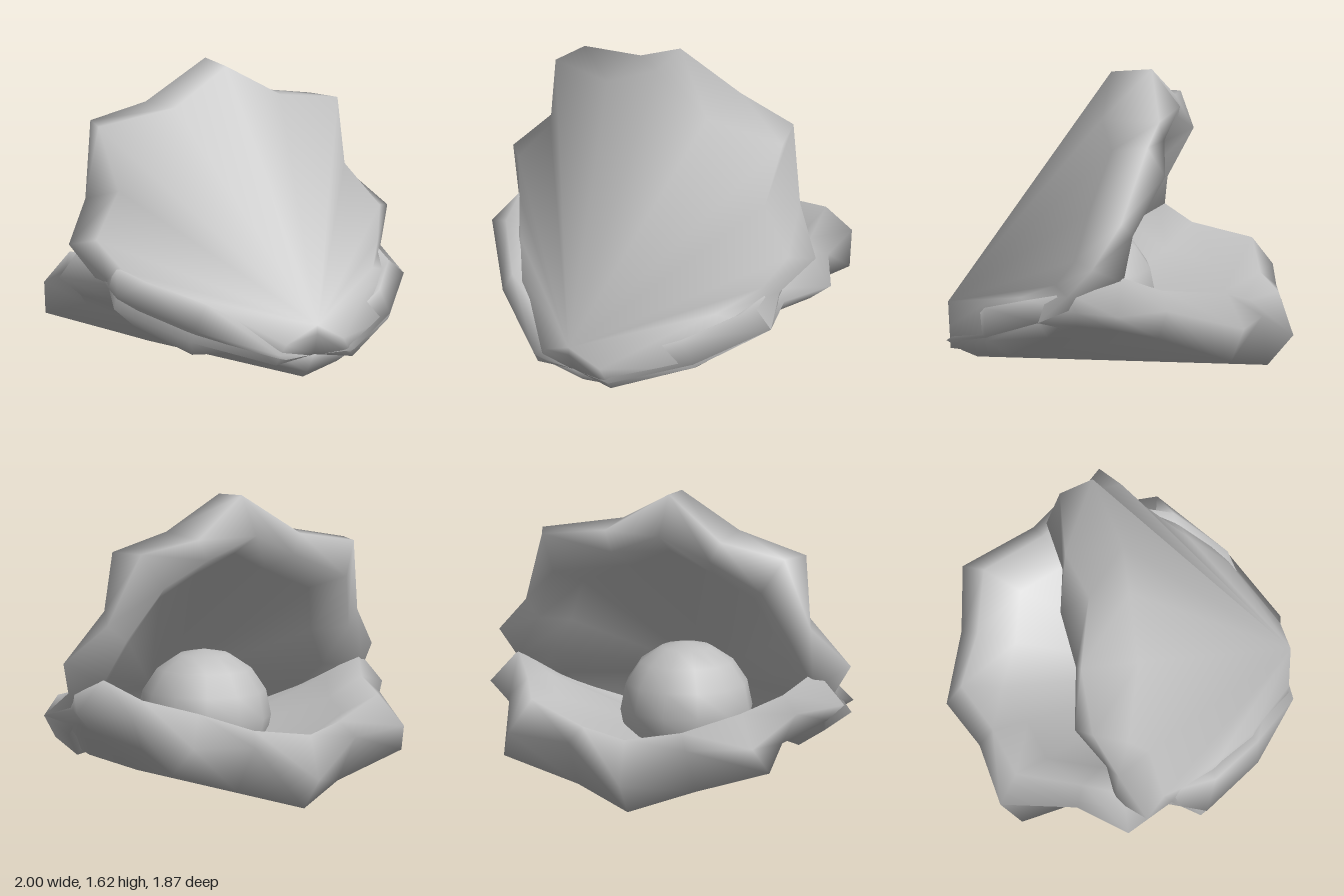
import * as THREE from 'three';

// Half of the scalloped rim, from the middle of the mouth round to the hinge.
// Each station: outer edge, rim bulge and inner lip as [side, length from hinge, depth].
const STATIONS = [
  [[0, 1.57, 0], [0, 1.71, 0.17], [0, 1.63, 0.41]],
  [[0.33, 1.41, 0.1], [0.33, 1.58, 0.36], [0.28, 1.5, 0.44]],
  [[0.75, 1.41, 0.23], [0.69, 1.52, 0.38], [0.59, 1.42, 0.55]],
  [[0.71, 1.06, 0.32], [0.81, 1.12, 0.5], [0.72, 1.08, 0.59]],
  [[0.89, 0.83, 0.41], [1.0, 0.87, 0.51], [0.84, 0.87, 0.69]],
  [[0.8, 0.63, 0.4], [0.86, 0.63, 0.49], [0.82, 0.58, 0.585]],
  [[0.64, 0.42, 0.29], [0.91, 0.43, 0.44], [0.77, 0.36, 0.53]],
  [[0.48, 0.24, 0.16], [0.62, 0.11, 0.28], [0.55, 0.1, 0.42]],
  [[0.18, -0.06, 0.08], [0.24, -0.14, 0.15], [0.2, -0.02, 0.23]],
  [[0, -0.04, 0.03], [0, -0.11, 0.13], [0, -0.03, 0.16]],
];

// One valve: hull fan, rolled rim and hollow inside, lying with its keel on y = 0
function valveGeometry() {
  // shoulder of the hollow, set in and a little below the lip
  const half = STATIONS.map(([a, b, c]) => [a, b, c,
    [c[0] * 0.82, 0.4 + (c[1] - 0.4) * 0.82, a[2] * 0.1 + c[2] * 0.74]]);
  const mirrored = half.slice(1, -1).reverse()
    .map((s) => s.map(([x, u, v]) => [-x, u, v]));
  const loop = [...half, ...mirrored];
  const n = loop.length;
  const positions = [0, 0, 0, 0, 0.14, -0.3]; // hinge apex outside and inside
  for (let ring = 0; ring < 4; ring++) {
    for (const s of loop) positions.push(s[ring][0], s[ring][2], -s[ring][1]);
  }
  const id = (ring, j) => 2 + ring * n + (j % n);
  const index = [];
  for (let j = 0; j < n; j++) {
    index.push(0, id(0, j), id(0, j + 1));
    for (let r = 0; r < 3; r++) {
      index.push(id(r, j), id(r + 1, j), id(r + 1, j + 1));
      index.push(id(r, j), id(r + 1, j + 1), id(r, j + 1));
    }
    index.push(id(3, j), 1, id(3, j + 1));
  }
  const g = new THREE.BufferGeometry();
  g.setAttribute('position', new THREE.Float32BufferAttribute(positions, 3));
  g.setIndex(index);
  g.computeVertexNormals();
  return g;
}

export function createModel() {
  const model = new THREE.Group();
  model.name = 'openClam';
  const grey = new THREE.MeshStandardMaterial({ color: 0xc0c0c0 });
  grey.name = 'shell grey';
  grey.side = THREE.DoubleSide;

  const shell = valveGeometry();
  const skew = 0.04; // both valves sit slightly askew about the hinge

  // Lower valve rests on the ground
  const lower = new THREE.Mesh(shell, grey);
  lower.name = 'lowerShell';
  lower.rotation.y = skew;
  lower.position.set(0.035, 0, 0.77);
  model.add(lower);

  // Upper valve is the same shape turned over and swung open
  const upper = new THREE.Mesh(shell, grey);
  upper.name = 'upperShell';
  upper.rotation.set(0.976, 0, Math.PI);
  upper.rotateY(-skew);
  upper.position.set(0.035, 0.3, 0.93);
  model.add(upper);

  // Pearl sunk a little into the lower valve
  const pearl = new THREE.Mesh(new THREE.SphereGeometry(0.36, 12, 8), grey);
  pearl.name = 'pearl';
  pearl.position.set(-0.01, 0.38, 0.17);
  model.add(pearl);

  return model;
}
